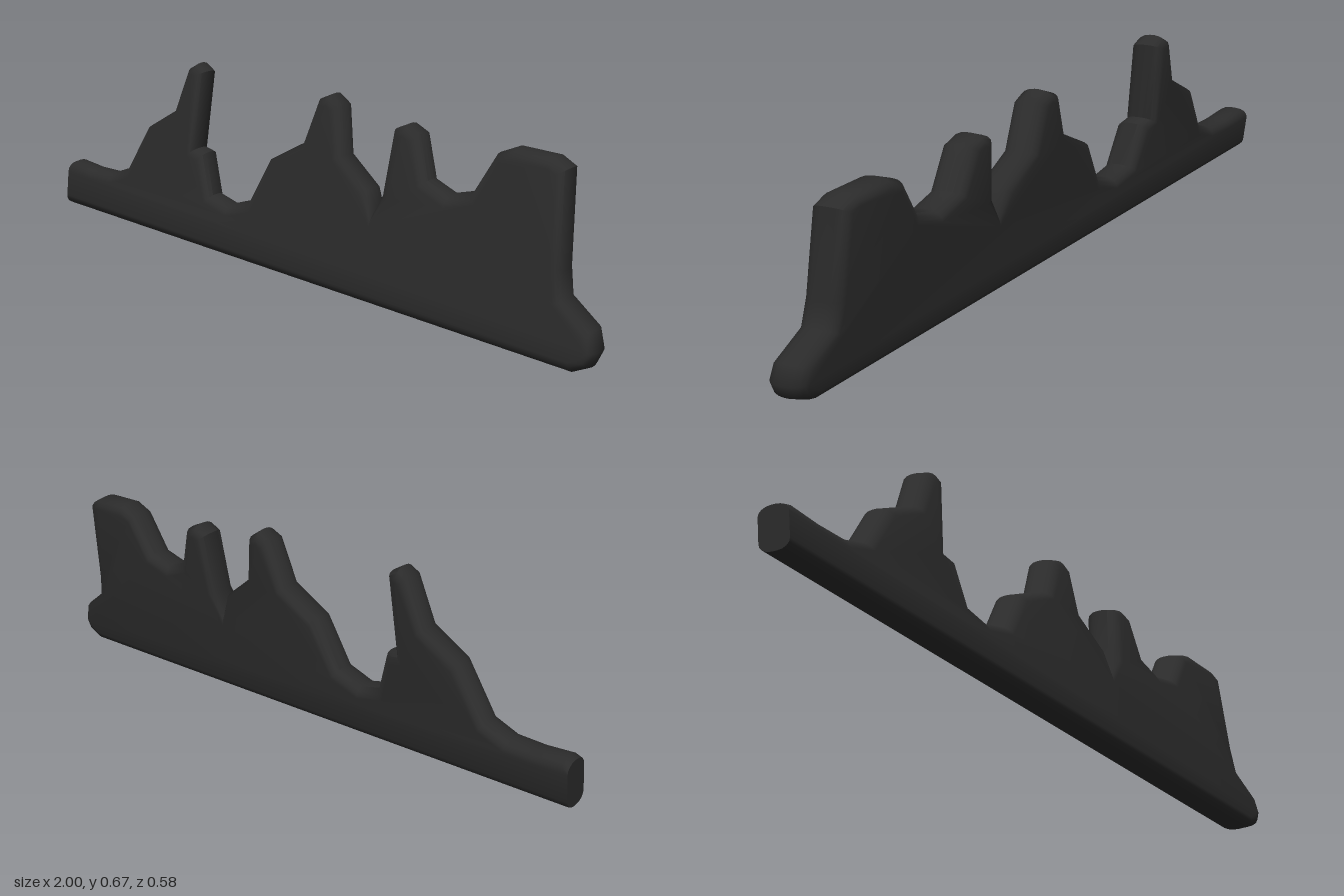
import * as THREE from 'three';
import { mergeVertices, toCreasedNormals } from 'three/addons/utils/BufferGeometryUtils.js';

// Skyline of the ridge, from the cut left end to the rounded right end
const OUTLINE = [
  [-1.04, 0.179], [-1.04, 0.31], [-0.98, 0.317], [-0.89, 0.303], [-0.8, 0.298], [-0.73, 0.32],
  [-0.645, 0.46], [-0.53, 0.52], [-0.48, 0.65], [-0.445, 0.668], [-0.408, 0.645],
  [-0.425, 0.415], [-0.388, 0.405], [-0.35, 0.283], [-0.28, 0.262], [-0.2, 0.283],
  [-0.125, 0.415], [0, 0.475], [0.05, 0.603], [0.095, 0.62], [0.135, 0.593],
  [0.155, 0.455], [0.255, 0.375], [0.273, 0.315], [0.298, 0.365], [0.325, 0.545],
  [0.37, 0.562], [0.415, 0.54], [0.45, 0.42], [0.52, 0.39], [0.595, 0.405],
  [0.665, 0.515], [0.72, 0.535], [0.84, 0.525], [0.885, 0.5], [0.89, 0.25], [0.9, 0.18],
  [0.985, 0.115], [1, 0.06], [0.98, 0.02], [0.93, 0],
];

function ridgeGeometry() {
  const shape = new THREE.Shape(OUTLINE.map(([x, y]) => new THREE.Vector2(x, y)));
  // Soft edges: the bevel eats inward so the skyline keeps its size
  let geo = new THREE.ExtrudeGeometry(shape, {
    depth: 0.014, steps: 1, curveSegments: 1,
    bevelEnabled: true, bevelSize: 0.03, bevelOffset: -0.03,
    bevelThickness: 0.043, bevelSegments: 4,
  });
  geo.translate(0, 0, -0.007);
  geo.deleteAttribute('uv');
  geo.deleteAttribute('normal');

  // Cut the left end flat, set the wall diagonally and lean its peaks backward
  const p = geo.attributes.position;
  for (let i = 0; i < p.count; i++) {
    const x = Math.max(p.getX(i), -1);
    const y = p.getY(i);
    const height = y - (0.085 - 0.091 * x);
    const z = p.getZ(i) * (1 + 0.1 * x) + 0.243 * x - 0.115 * height;
    p.setXYZ(i, x, y, z);
  }
  geo.clearGroups();
  geo = mergeVertices(geo, 1e-4);
  return toCreasedNormals(geo, 0.9);
}

export function createModel() {
  const charcoal = new THREE.MeshStandardMaterial({ color: 0x2b2b2b });
  charcoal.name = 'charcoal';
  const group = new THREE.Group();
  group.name = 'jaggedRidge';
  const ridge = new THREE.Mesh(ridgeGeometry(), charcoal);
  ridge.name = 'ridge';
  group.add(ridge);
  return group;
}
